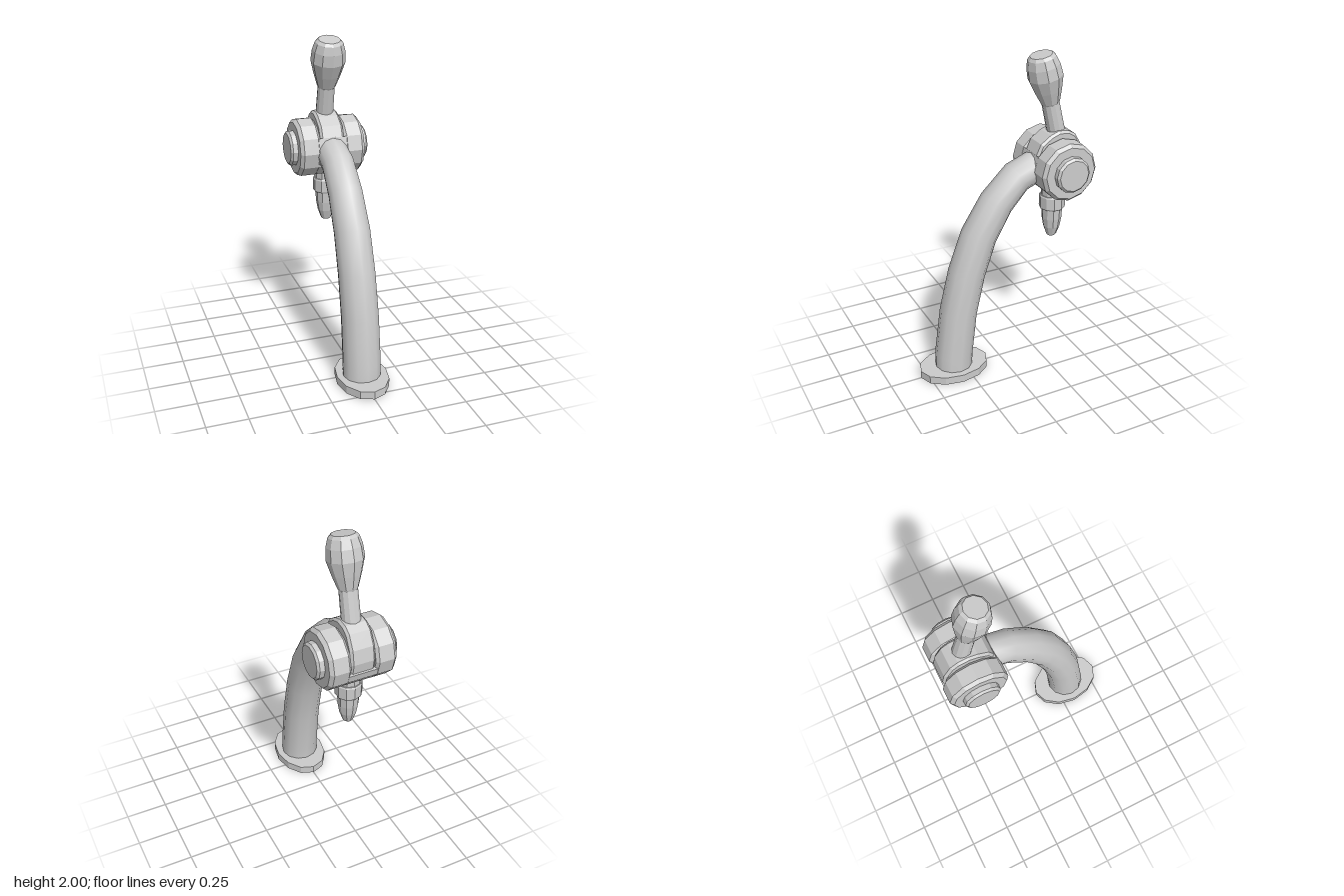
import * as THREE from 'three';

const PIVOT = [0, 1.305, -0.37];
const flat = new THREE.MeshStandardMaterial({ color: 0xcccccc, flatShading: true });
const smooth = new THREE.MeshStandardMaterial({ color: 0xcccccc, side: THREE.DoubleSide });

// Turned part: profile is [radius, height] from bottom to top
function turned(name, profile, sides) {
  const pts = profile.map(([r, y]) => new THREE.Vector2(r, y));
  const mesh = new THREE.Mesh(new THREE.LatheGeometry(pts, sides), flat);
  mesh.name = name;
  return mesh;
}

// Side outline [z, y] extruded across x, centred
function slab(name, outline, width, bevel) {
  const shape = new THREE.Shape(outline.map(([z, y]) => new THREE.Vector2(z, y)));
  const geo = new THREE.ExtrudeGeometry(shape, {
    depth: width - 2 * bevel, bevelEnabled: bevel > 0, bevelSize: bevel,
    bevelThickness: bevel, bevelOffset: -bevel, bevelSegments: 1,
  });
  geo.translate(0, 0, bevel - width / 2);
  geo.rotateY(-Math.PI / 2);
  const mesh = new THREE.Mesh(geo, flat);
  mesh.name = name;
  return mesh;
}

// Curved, tapering column lofted from rings of [z, y, radius]
function columnGeometry(stations, sides) {
  const curve = new THREE.CatmullRomCurve3(stations.map(([z, y]) => new THREE.Vector3(0, y, z)));
  const pos = [], idx = [];
  stations.forEach(([z, y, r], i) => {
    const t = curve.getTangent(i / (stations.length - 1));
    if (i === 0) t.set(0, 1, 0);
    for (let j = 0; j < sides; j++) {
      const a = (j / sides) * Math.PI * 2;
      pos.push(r * Math.cos(a), y - r * Math.sin(a) * t.z, z + r * Math.sin(a) * t.y);
      if (i < stations.length - 1) {
        const k = (j + 1) % sides, p = i * sides, q = p + sides;
        idx.push(p + j, q + j, p + k, p + k, q + j, q + k);
      }
    }
  });
  const geo = new THREE.BufferGeometry();
  geo.setAttribute('position', new THREE.Float32BufferAttribute(pos, 3));
  geo.setIndex(idx);
  geo.computeVertexNormals();
  return geo;
}

export function createModel() {
  const model = new THREE.Group();
  model.name = 'tapTower';

  // Oval foot plate
  const base = turned('basePlate', [[0, 0], [1, 0], [1, 0.05], [0, 0.05]], 12);
  base.scale.set(0.158, 1, 0.225);
  base.position.z = 0.325;
  model.add(base);

  // Column
  const column = new THREE.Mesh(columnGeometry([
    [0.325, 0.03, 0.118], [0.321, 0.13, 0.118], [0.284, 0.42, 0.116], [0.223, 0.68, 0.114],
    [0.138, 0.918, 0.111], [0.02, 1.114, 0.105], [-0.117, 1.255, 0.1],
    [-0.22, 1.295, 0.098], [-0.34, 1.31, 0.095],
  ], 12), smooth);
  column.name = 'column';
  model.add(column);

  // Valve body across x
  const body = new THREE.Group();
  body.name = 'valveBody';
  body.position.set(...PIVOT);
  for (const side of [1, -1]) {
    const drum = turned('drum', [[0, 0.07], [0.165, 0.076], [0.182, 0.092], [0.182, 0.185],
      [0.163, 0.206], [0, 0.206]], 12);
    const cap = turned('endCap', [[0.11, 0.19], [0.11, 0.236], [0.096, 0.249], [0, 0.249]], 12);
    drum.rotation.z = cap.rotation.z = -side * Math.PI / 2;
    body.add(drum, cap);
  }

  // Lower bridge between the drums, leaving a slot on top for the lever
  const arc = [[0, 0]];
  for (let a = 30; a >= -165; a -= 15) {
    const rad = THREE.MathUtils.degToRad(a);
    const r = a % 30 === 0 ? 0.181 : 0.175;
    arc.push([r * Math.cos(rad), r * Math.sin(rad)]);
  }
  body.add(slab('bridge', arc, 0.18, 0));

  // Lever hub in the slot
  body.add(slab('leverHub', [
    [0.155, 0.09], [0.125, 0.155], [0.06, 0.2], [0.005, 0.22], [-0.06, 0.213],
    [-0.107, 0.185], [-0.152, 0.105], [-0.168, 0.02], [-0.155, -0.06], [0, -0.1], [0.12, 0],
  ], 0.152, 0.014));
  model.add(body);

  // Lever stem and grip
  const lever = new THREE.Group();
  lever.name = 'lever';
  lever.position.set(0, 1.69, -0.336);
  lever.rotation.x = THREE.MathUtils.degToRad(13);
  lever.add(
    turned('stem', [[0.056, -0.25], [0.053, 0.01]], 12),
    turned('grip', [[0, -0.012], [0.05, -0.012], [0.058, 0.002], [0.083, 0.08], [0.106, 0.165],
      [0.1, 0.235], [0.085, 0.285], [0.068, 0.302], [0, 0.302]], 10),
  );
  model.add(lever);

  // Spout
  const spout = new THREE.Group();
  spout.name = 'spout';
  spout.position.z = -0.366;
  spout.add(
    turned('nozzle', [[0, 0.812], [0.027, 0.812], [0.032, 0.818], [0.052, 0.875], [0.062, 0.935],
      [0.066, 1.01]], 10),
    turned('collar', [[0, 1.004], [0.076, 1.004], [0.081, 1.012], [0.081, 1.085], [0.076, 1.094],
      [0, 1.094]], 10),
    turned('neck', [[0.07, 1.085], [0.07, 1.2]], 10),
  );
  model.add(spout);

  return model;
}
